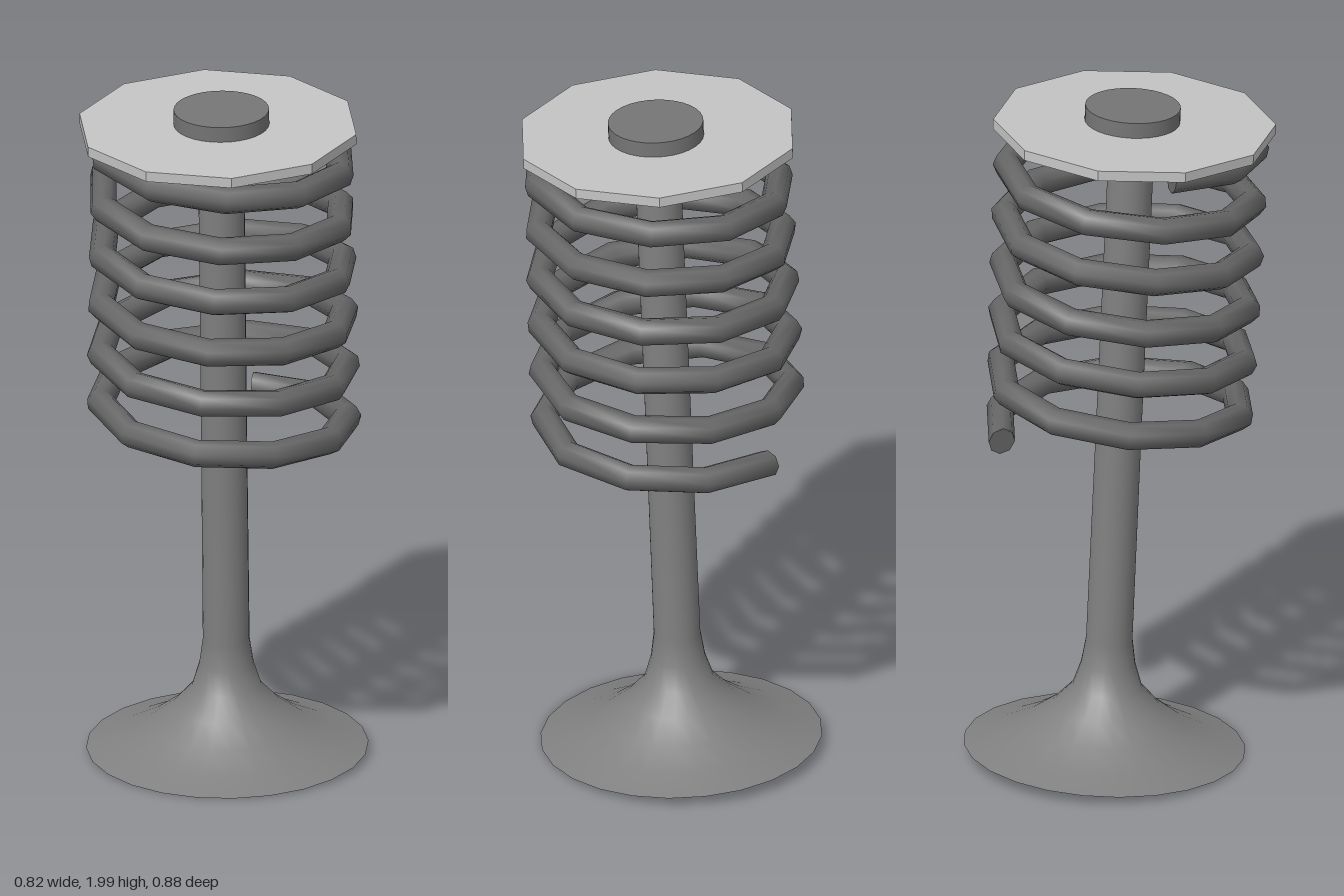
import * as THREE from 'three';

// Rising coil: starts at the back and climbs towards +x
class Helix extends THREE.Curve {
  constructor(radius, start, sweep, y0, pitch) {
    super();
    Object.assign(this, { radius, start, sweep, y0, pitch });
  }
  getPoint(t, target = new THREE.Vector3()) {
    const a = this.start + this.sweep * t;
    return target.set(
      this.radius * Math.sin(a),
      this.y0 + (this.pitch * this.sweep * t) / (2 * Math.PI),
      -this.radius * Math.cos(a)
    );
  }
}

function material(name, color, side = THREE.FrontSide) {
  const m = new THREE.MeshStandardMaterial({ color, side });
  m.name = name;
  return m;
}

export function createModel() {
  const steel = material('steel', 0x808080, THREE.DoubleSide);
  const springSteel = material('spring steel', 0x666666);
  const paleSteel = material('pale steel', 0xc4c4c4);
  const capSteel = material('cap steel', 0x757575);

  const model = new THREE.Group();
  model.name = 'valve';
  const tilted = new THREE.Group();
  tilted.name = 'valveAssembly';
  tilted.position.set(0.003, 0.02, -0.035);
  tilted.rotation.x = 0.045;
  model.add(tilted);

  const add = (name, geometry, mat, x = 0, y = 0, z = 0) => {
    const mesh = new THREE.Mesh(geometry, mat);
    mesh.name = name;
    mesh.position.set(x, y, z);
    tilted.add(mesh);
    return mesh;
  };

  // Flared hollow head and stem in one profile
  const profile = [
    [0.405, 0], [0.31, 0.03], [0.225, 0.073], [0.155, 0.125], [0.1, 0.185],
    [0.078, 0.255], [0.067, 0.33], [0.066, 1.0], [0.066, 1.9],
  ].map(([r, y]) => new THREE.Vector2(r, y));
  add('headAndStem', new THREE.LatheGeometry(profile, 24), steel);

  // Coil spring, with about ten straight pieces to a turn
  const segments = 58;
  const wire = 0.04;
  const step = THREE.MathUtils.degToRad(35.7);
  const helix = new Helix(0.355, 0.03, segments * step, 0.97, 0.159);
  add('spring', new THREE.TubeGeometry(helix, segments, wire, 8), springSteel);

  // Flat ends of the spring wire
  for (const [name, t, sign] of [['springLowerEnd', 0, -1], ['springUpperEnd', 1, 1]]) {
    const p = helix.getPoint(t);
    const end = add(name, new THREE.CircleGeometry(wire, 8), springSteel, p.x, p.y, p.z);
    end.quaternion.setFromUnitVectors(
      new THREE.Vector3(0, 0, 1),
      helix.getTangent(t).multiplyScalar(sign)
    );
  }

  // Ten-sided retainer plate with corners on the x axis
  const plate = new THREE.CylinderGeometry(0.406, 0.406, 0.03, 10).toNonIndexed();
  plate.rotateY(Math.PI / 2);
  plate.computeVertexNormals();
  add('retainerPlate', plate, paleSteel, -0.008, 1.912, 0.003);

  // Round cap on the stem
  add('stemCap', new THREE.CylinderGeometry(0.137, 0.137, 0.047, 32), capSteel, 0.002, 1.949, 0);

  return model;
}
